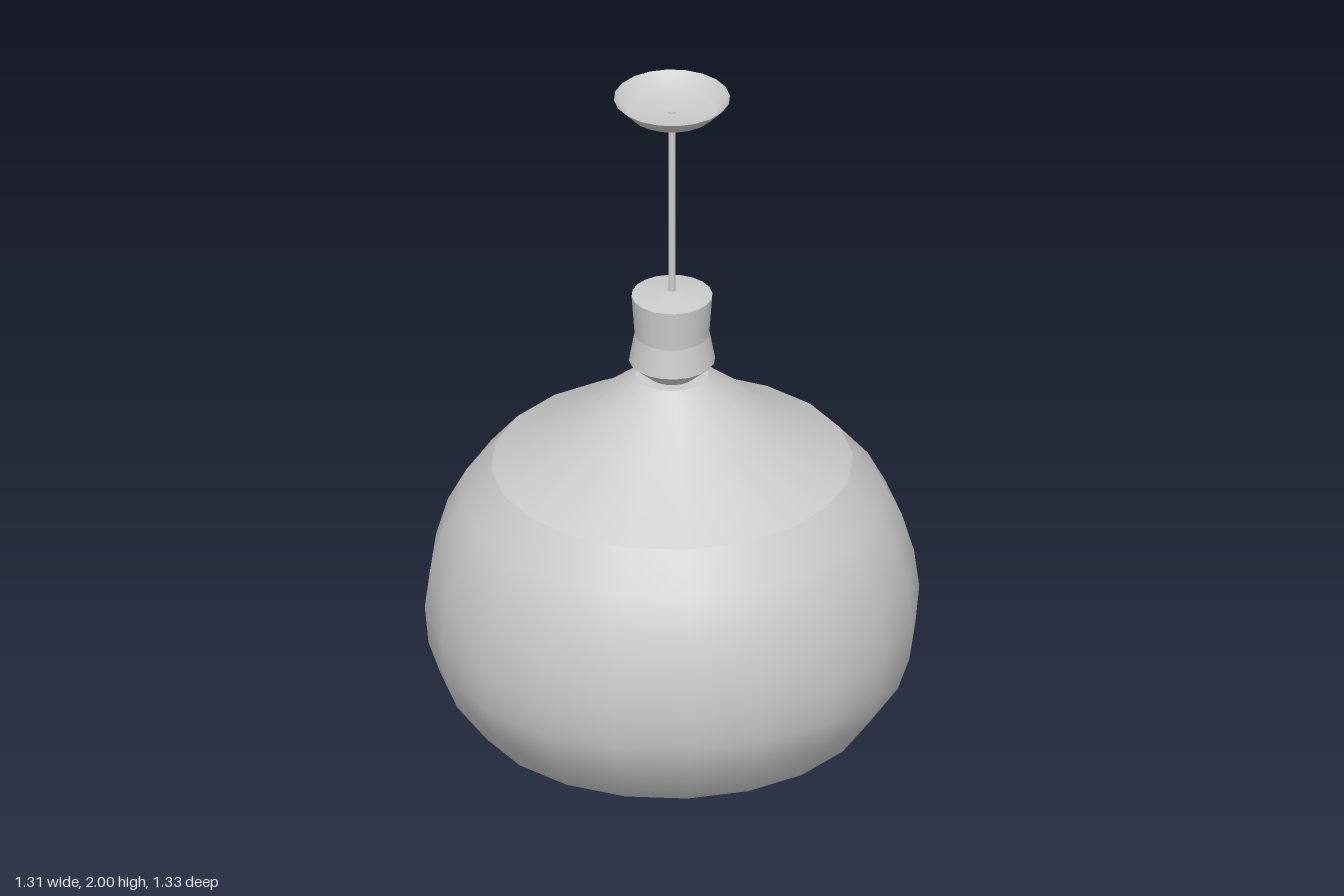
import * as THREE from 'three';

const SIDES = 20;
const material = new THREE.MeshStandardMaterial({ color: 0xcccccc, side: THREE.DoubleSide });

// Turned part made of smooth bands, with a sharp edge wherever two bands meet.
// Each band lists [radius, height] from bottom to top.
function turned(name, bands) {
  const group = new THREE.Group();
  group.name = name;
  bands.forEach((band, i) => {
    const points = band.map(([r, y]) => new THREE.Vector2(r, y));
    const mesh = new THREE.Mesh(new THREE.LatheGeometry(points, SIDES), material);
    mesh.name = `${name}Band${i + 1}`;
    group.add(mesh);
  });
  return group;
}

export function createModel() {
  const model = new THREE.Group();
  model.name = 'pendantLamp';

  // Round shade: bulbous body, shoulder, neck cone and lid
  const shade = turned('shade', [
    [[0, 0], [0.15, 0.015], [0.3, 0.04], [0.53, 0.16], [0.614, 0.275], [0.646, 0.37],
      [0.656, 0.48], [0.642, 0.59], [0.61, 0.7], [0.56, 0.795], [0.48, 0.89]],
    [[0.48, 0.89], [0.275, 1.015], [0.097, 1.16]],
    [[0.097, 1.16], [0, 1.16]],
  ]);
  shade.scale.z = 1.01;
  model.add(shade);

  // Lamp holder: tapered foot, lower collar, flared cup and shallow cap
  model.add(turned('lampHolder', [
    [[0.065, 1.16], [0.115, 1.205]],
    [[0.115, 1.205], [0.1, 1.285]],
    [[0.1, 1.285], [0.108, 1.4]],
    [[0.108, 1.4], [0, 1.415]],
  ]));

  // Hanging rod
  const rod = new THREE.Mesh(new THREE.CylinderGeometry(0.01, 0.01, 0.55, 12), material);
  rod.name = 'rod';
  rod.position.y = 1.685;
  model.add(rod);

  // Ceiling canopy: dish open at the top
  model.add(turned('canopy', [[[0, 1.955], [0.115, 1.958], [0.155, 2]]]));

  return model;
}
